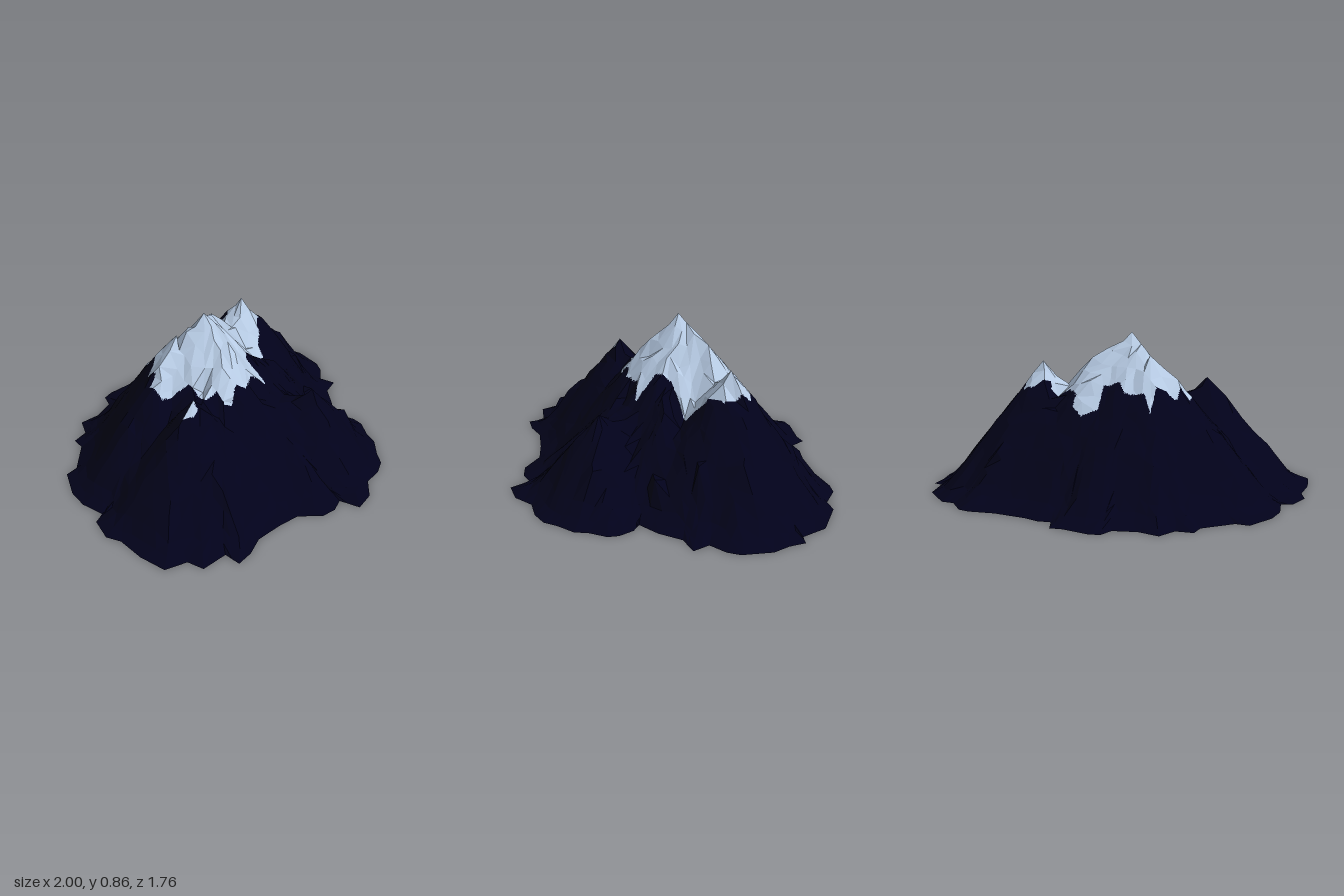
import * as THREE from 'three';

// foot of the mountain, x,z pairs, from the back round by +x
const FOOT = [-.2,-.87,-.14,-.88,0,-.86,.06,-.87,.09,-.79,.16,-.8,.24,-.78,.41,-.77,.55,-.79,.61,-.78,.69,-.7,
  .76,-.7,.83,-.64,.9,-.58,.93,-.44,.98,-.43,.98,-.34,1,-.25,.97,-.09,.93,-.03,.85,.03,.87,.12,.77,.14,.68,.24,
  .58,.31,.62,.35,.64,.43,.63,.49,.57,.57,.54,.64,.46,.71,.41,.77,.33,.8,.23,.8,.14,.87,.03,.88,0,.77,-.07,.79,
  -.15,.77,-.24,.67,-.36,.64,-.5,.62,-.6,.65,-.69,.65,-.69,.56,-.83,.54,-.85,.45,-.96,.4,-.98,.25,-.97,.1,-1,.02,
  -.96,-.1,-.9,-.12,-.92,-.25,-.9,-.36,-.82,-.5,-.75,-.5,-.61,-.62,-.6,-.69,-.51,-.7,-.46,-.79,-.35,-.77,-.23,-.8];

// outlines of the snow in plan, x,z pairs: the main cap and a small patch
const SNOW = [
  [-.43,-.11,-.43,-.2,-.38,-.2,-.38,-.27,-.28,-.28,-.28,-.4,-.23,-.34,-.12,-.35,-.08,-.31,0,-.32,0,-.41,.08,-.44,
    .14,-.41,.14,-.36,.19,-.32,.26,-.32,.29,-.34,.31,-.3,.4,-.35,.46,-.33,.46,-.18,.38,-.17,.38,-.11,.33,-.08,
    .32,-.03,.22,-.03,.13,-.01,.06,.06,.09,.18,0,.14,-.09,.18,-.13,.15,-.2,.18,-.24,.16,-.23,.1,-.31,.09,
    -.3,-.03,-.36,-.07],
  [-.54,.1,-.43,.1,-.43,.18],
];

// crest lines as x,y,z points
const SUMMIT = [-.08, .86, -.12];
const RIDGES = [
  [SUMMIT, [-.21, .75, -.2], [-.36, .63, -.19], [-.43, .54, -.17], [-.6, .36, -.2]],
  [SUMMIT, [.1, .73, -.23], [.27, .57, -.2], [.38, .7, -.25], [.46, .56, -.25], [.54, .51, -.25], [.7, .33, -.2]],
  [[.1, .73, -.23], [.09, .52, -.4], [.1, .22, -.6]],
  [SUMMIT, [-.12, .71, .03], [-.2, .48, .17]],
  [[-.12, .71, .03], [.05, .48, .17]],
  [[.02, .7, -.05], [.11, .57, .06], [.28, .46, .08], [.5, .2, .2]],
  [[-.25, .5, .02], [-.43, .6, .12], [-.54, .5, .12], [-.75, .22, .25]],
  [[-.54, .5, .12], [-.55, .25, .42]],
  [[-.02, .42, .2], [.1, .38, .27], [.2, .46, .41], [.18, .32, .54]],
  [[.2, .46, .41], [.4, .25, .5]],
  [[.38, .7, -.25], [.42, .53, -.38], [.5, .26, -.57]],
  [[.54, .51, -.25], [.6, .3, 0]],
  [[-.21, .75, -.2], [-.27, .52, -.38], [-.35, .26, -.55]],
];

let seed = 11;
const random = () => (seed = (seed * 16807) % 2147483647) / 2147483647;
const N = FOOT.length / 2;

function footPoint(u) {
  const f = u * N, i = Math.floor(f), t = f - i, a = (i % N) * 2, b = ((i + 1) % N) * 2;
  return [FOOT[a] + (FOOT[b] - FOOT[a]) * t, FOOT[a + 1] + (FOOT[b + 1] - FOOT[a + 1]) * t];
}

// nearest point on a segment in plan: distance and position along it
function nearest(x, z, ax, az, bx, bz) {
  const dx = bx - ax, dz = bz - az;
  const t = THREE.MathUtils.clamp(((x - ax) * dx + (z - az) * dz) / (dx * dx + dz * dz), 0, 1);
  return [Math.hypot(x - ax - dx * t, z - az - dz * t), t];
}

function inside(x, z, outline) {
  let hit = false;
  for (let i = 0, j = outline.length - 2; i < outline.length; j = i, i += 2) {
    const [ax, az, bx, bz] = [outline[i], outline[i + 1], outline[j], outline[j + 1]];
    if (az > z !== bz > z && x < ax + ((bx - ax) * (z - az)) / (bz - az)) hit = !hit;
  }
  return hit;
}
const isSnow = ([x, , z]) => SNOW.some(outline => inside(x, z, outline));

function heightAt(x, z) {
  let edge = 9, crest = 0;
  for (let i = 0; i < N; i++) {
    edge = Math.min(edge, nearest(x, z, ...footPoint(i / N), ...footPoint((i + 1) / N))[0]);
  }
  for (const ridge of RIDGES) for (let i = 0; i + 1 < ridge.length; i++) {
    const [a, b] = [ridge[i], ridge[i + 1]];
    const [d, t] = nearest(x, z, a[0], a[2], b[0], b[2]);
    crest = Math.max(crest, a[1] + (b[1] - a[1]) * t - 1.25 * d);
  }
  const slope = edge < .1 ? edge * .7 : .07 + (edge - .1) * 1.5;
  return Math.min(slope, Math.max(crest, Math.min(.68 * slope, .38)));
}

function buildRings(count) {
  const rings = [[SUMMIT.slice()]];
  for (let k = 1; k <= count; k++) {
    const s = k / count, n = Math.round(N * s * (k < count ? 1.8 : 2)), ring = [];
    for (let j = 0; j < n; j++) {
      const [fx, fz] = footPoint(j / n);
      const wobble = k < count ? .02 : 0;
      const x = SUMMIT[0] + (fx - SUMMIT[0]) * s + (random() - .5) * wobble;
      const z = SUMMIT[2] + (fz - SUMMIT[2]) * s + (random() - .5) * wobble;
      const y = k < count ? heightAt(x, z) : 0;
      ring.push([x, y * (1 + (random() - .5) * .04), z]);
    }
    rings.push(ring);
  }
  // pull the closest vertex onto each crest point
  const inner = rings.slice(1, -1).flat();
  for (const p of RIDGES.flat()) {
    if (p === SUMMIT) continue;
    const gap = v => Math.hypot(v[0] - p[0], v[2] - p[2]);
    const v = inner.reduce((a, b) => (gap(b) < gap(a) ? b : a));
    v.splice(0, 3, ...p);
  }
  return rings;
}

function toMesh(name, triangles, material) {
  const geometry = new THREE.BufferGeometry();
  geometry.setAttribute('position', new THREE.Float32BufferAttribute(triangles.flat(2), 3));
  geometry.computeVertexNormals();
  const mesh = new THREE.Mesh(geometry, material);
  mesh.name = name;
  return mesh;
}

export function createModel() {
  const rockMaterial = new THREE.MeshStandardMaterial({ color: 0x02021a });
  rockMaterial.name = 'dark rock';
  const snowMaterial = new THREE.MeshStandardMaterial({ color: 0xb6cae3 });
  snowMaterial.name = 'snow';

  const rock = [], snow = [], base = [];
  // faces crossing the snow edge are split so that the edge stays crisp
  const addFace = (a, b, c, depth = 3) => {
    const middle = a.map((v, i) => (v + b[i] + c[i]) / 3);
    const snowy = isSnow(middle);
    if (depth && [a, b, c].some(p => isSnow(p) !== snowy)) {
      const mid = (p, q) => p.map((v, i) => (v + q[i]) / 2);
      const ab = mid(a, b), bc = mid(b, c), ca = mid(c, a);
      for (const tri of [[a, ab, ca], [ab, b, bc], [ca, bc, c], [ab, bc, ca]]) addFace(...tri, depth - 1);
    } else (snowy ? snow : rock).push([a, b, c]);
  };

  // stitch each ring to the next one out
  const rings = buildRings(16);
  for (let k = 0; k + 1 < rings.length; k++) {
    const a = rings[k], b = rings[k + 1], n = k ? a.length : 0, m = b.length;
    let i = 0, j = 0;
    while (i < n || j < m) {
      const p = a[i % a.length], q = b[j % m];
      if (j < m && (i >= n || (j + 1) / m <= (i + 1) / n)) addFace(p, b[++j % m], q);
      else addFace(p, a[++i % a.length], q);
    }
  }

  // flat underside
  const rim = rings[rings.length - 1];
  rim.forEach((p, i) => base.push([[SUMMIT[0], 0, SUMMIT[2]], p, rim[(i + 1) % rim.length]]));

  const group = new THREE.Group();
  group.name = 'mountain';
  group.add(
    toMesh('rockSlopes', rock, rockMaterial),
    toMesh('snowCaps', snow, snowMaterial),
    toMesh('underside', base, rockMaterial),
  );
  return group;
}
